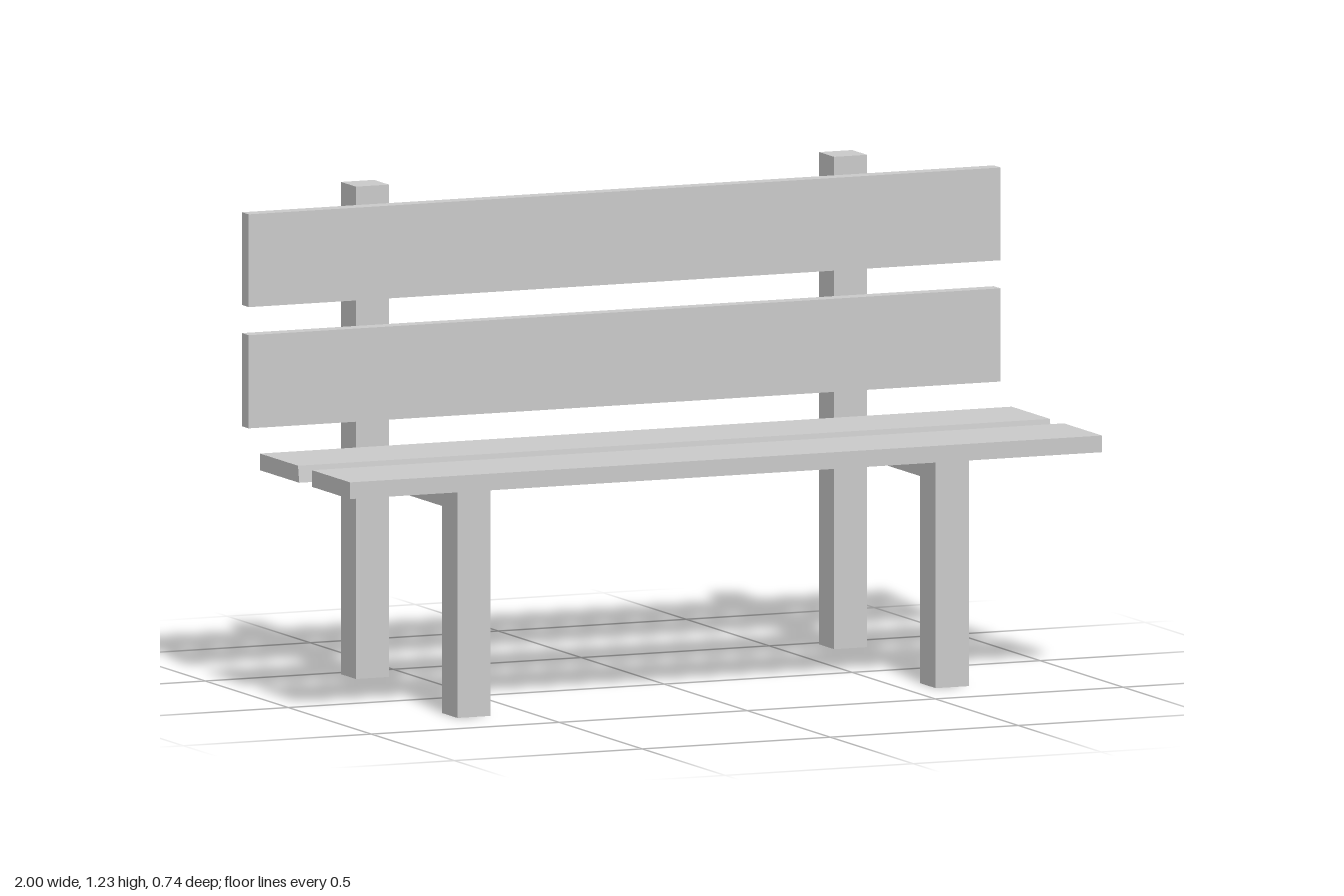
import * as THREE from 'three';

export function createModel() {
  const bench = new THREE.Group();
  bench.name = 'bench';
  const material = new THREE.MeshStandardMaterial({ color: 0xcccccc, flatShading: true });

  // Box given by its lower and upper limits on each axis
  function beam(name, [x0, x1], [y0, y1], [z0, z1], parent = bench) {
    const mesh = new THREE.Mesh(new THREE.BoxGeometry(x1 - x0, y1 - y0, z1 - z0), material);
    mesh.position.set((x0 + x1) / 2, (y0 + y1) / 2, (z0 + z1) / 2);
    mesh.name = name;
    parent.add(mesh);
    return mesh;
  }

  // Side frames: front leg, seat rail and tall back post
  for (const [side, x] of [['right', -0.652], ['left', 0.62]]) {
    const frame = new THREE.Group();
    frame.name = side + 'Frame';
    const width = [x - 0.044, x + 0.044];
    beam('frontLeg', width, [0, 0.561], [0.237, 0.331], frame);
    beam('seatRail', width, [0.509, 0.561], [-0.281, 0.237], frame);
    beam('backPost', width, [0.016, 1.226], [-0.371, -0.281], frame);
    bench.add(frame);
  }

  // Seat planks
  beam('frontSeatPlank', [-1, 1], [0.561, 0.602], [0.143, 0.373]);
  const rear = beam('rearSeatPlank', [-1, 1], [0.561, 0.602], [-0.171, 0.066]);
  // Slightly sloped front edge on the rear plank
  const p = rear.geometry.attributes.position;
  for (let i = 0; i < p.count; i++) {
    if (p.getZ(i) > 0 && p.getY(i) > 0) p.setZ(i, p.getZ(i) - 0.007);
  }
  rear.geometry.computeVertexNormals();

  // Backrest planks
  beam('lowerBackPlank', [-1, 1], [0.655, 0.884], [-0.279, -0.238]);
  beam('upperBackPlank', [-1, 1], [0.953, 1.181], [-0.279, -0.238]);

  return bench;
}
